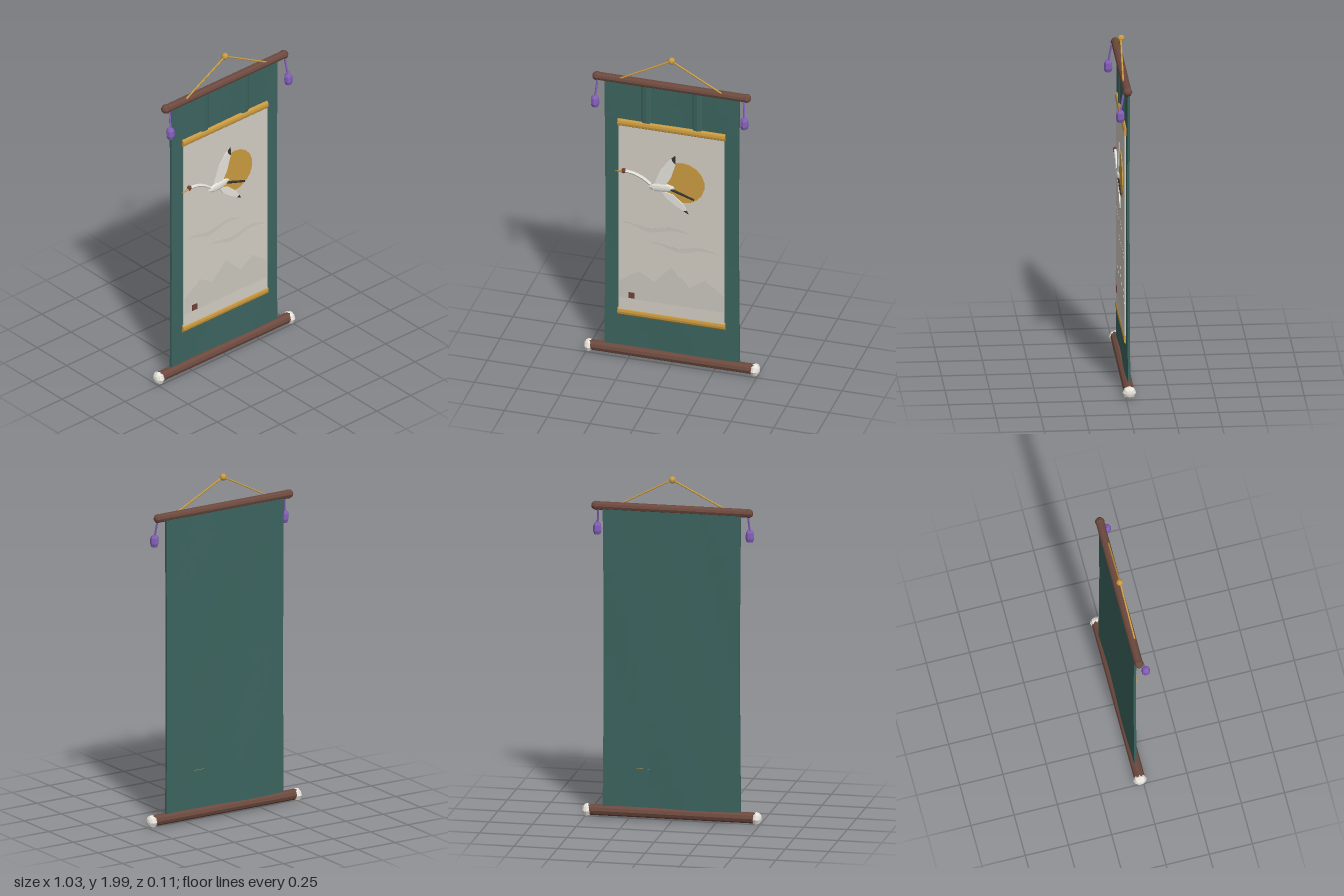
import * as THREE from 'three';

const mat = (name, color) => {
  const m = new THREE.MeshStandardMaterial({ color });
  m.name = name;
  return m;
};

export function createModel() {
  const root = new THREE.Group();
  root.name = 'hangingScroll';

  const cloth = mat('teal cloth', 0x3c645f);
  const wood = mat('dark wood', 0x6c493e);
  const gold = mat('gold', 0xcc9c40);
  const paper = mat('paper', 0xd3cec4);
  const ink = mat('pale ink wash', 0xcbc7be);
  const white = mat('ivory', 0xe6e4dc);
  const purple = mat('purple thread', 0x8460ba);
  const black = mat('black feather', 0x38332f);
  const red = mat('seal red', 0x6f4239);

  // Faceted mesh helper
  const add = (name, geo, material, x = 0, y = 0, z = 0, parent = root) => {
    const g = geo.index ? geo.toNonIndexed() : geo;
    g.computeVertexNormals();
    const mesh = new THREE.Mesh(g, material);
    mesh.name = name;
    mesh.position.set(x, y, z);
    parent.add(mesh);
    return mesh;
  };
  // Round bar between two points
  const bar = (name, a, b, r0, r1, sides, material, parent = root) => {
    const A = new THREE.Vector3(...a), B = new THREE.Vector3(...b);
    const mid = A.clone().add(B).multiplyScalar(0.5);
    const mesh = add(name, new THREE.CylinderGeometry(r1, r0, A.distanceTo(B), sides), material, mid.x, mid.y, mid.z, parent);
    mesh.quaternion.setFromUnitVectors(new THREE.Vector3(0, 1, 0), B.sub(A).normalize());
    return mesh;
  };
  // Thin cut-out plate facing the front
  const plate = (name, pts, depth, material, z, parent = root) => {
    const shape = new THREE.Shape(pts.map(p => new THREE.Vector2(...p)));
    return add(name, new THREE.ExtrudeGeometry(shape, { depth, bevelEnabled: false }), material, 0, 0, z, parent);
  };

  // Backing cloth, slightly waisted and rippled
  const sheet = new THREE.BoxGeometry(0.79, 1.73, 0.014, 12, 14, 1);
  const p = sheet.attributes.position;
  for (let i = 0; i < p.count; i++) {
    const t = p.getY(i) / 1.73 + 0.5;
    p.setX(i, p.getX(i) * (1 - 0.014 * Math.sin(Math.PI * t)));
    p.setZ(i, p.getZ(i) + 0.004 * Math.sin(p.getX(i) * 9) * Math.cos(t * 5));
  }
  add('backingCloth', sheet, cloth, 0, 0.935, -0.022);

  // Picture sheet and gold trims
  add('paperSheet', new THREE.BoxGeometry(0.62, 1.21, 0.008), paper, 0, 0.92, -0.009);
  for (const [name, y] of [['upperTrim', 1.53], ['lowerTrim', 0.302]]) {
    const trim = add(name, new THREE.CylinderGeometry(0.024, 0.024, 0.63, 10), gold, 0, y, -0.013);
    trim.rotation.z = Math.PI / 2;
    trim.scale.z = 0.55;
  }

  // Rods with end knobs
  bar('topRod', [-0.44, 1.81, -0.012], [0.44, 1.81, -0.012], 0.024, 0.024, 10, wood);
  bar('bottomRod', [-0.48, 0.05, -0.018], [0.48, 0.05, -0.018], 0.031, 0.031, 10, wood);

  for (const s of [-1, 1]) {
    const side = s > 0 ? 'left' : 'right';
    const topKnob = add(side + 'TopKnob', new THREE.SphereGeometry(0.027, 8, 6), wood, s * 0.437, 1.81, -0.012);
    topKnob.rotation.z = Math.PI / 2;
    const knob = add(side + 'BottomKnob', new THREE.SphereGeometry(0.039, 8, 6), white, s * 0.485, 0.046, -0.018);
    knob.rotation.z = Math.PI / 2;
    knob.scale.y = 0.75;

    // Hanging strap, bowed across its width
    const strap = add(side + 'Strap', new THREE.CylinderGeometry(0.028, 0.028, 0.25, 8), cloth, s * 0.149, 1.675, -0.013);
    strap.scale.z = 0.32;

    // Hanging string
    bar(side + 'String', [s * 0.295, 1.825, 0.001], [0, 1.98, -0.008], 0.005, 0.005, 6, gold);

    // Tassel
    const tassel = new THREE.Group();
    tassel.name = side + 'Tassel';
    root.add(tassel);
    bar('tasselCord', [s * 0.428, 1.795, 0.01], [s * 0.436, 1.69, 0.028], 0.006, 0.006, 5, purple, tassel);
    const profile = [[0, 1.632], [0.018, 1.635], [0.025, 1.655], [0.023, 1.688], [0.014, 1.702], [0, 1.704]];
    add('tasselHead', new THREE.LatheGeometry(profile.map(q => new THREE.Vector2(...q)), 7), purple, s * 0.437, 0, 0.028, tassel);
  }
  add('hangingKnob', new THREE.SphereGeometry(0.02, 8, 6), gold, 0, 1.98, -0.01);

  // Sun disc
  const sun = add('sun', new THREE.CylinderGeometry(0.13, 0.13, 0.005, 18), gold, 0.065, 1.2, -0.003);
  sun.rotation.x = Math.PI / 2;

  // Mountains and mist bands
  plate('mountains', [[-0.305, 0.395], [0.305, 0.395], [0.305, 0.505], [0.2, 0.585], [0.11, 0.525],
    [0, 0.635], [-0.1, 0.53], [-0.19, 0.585], [-0.305, 0.5]], 0.002, ink, -0.006);
  for (const [name, x0, y0] of [['upperMist', -0.29, 0.875], ['lowerMist', -0.12, 0.77]]) {
    const top = [], low = [];
    for (let i = 0; i <= 10; i++) {
      const t = i / 10, mid = y0 + 0.014 * Math.sin(t * 9 + 1);
      const h = 0.013 * Math.sin(Math.PI * t) + 0.002;
      low.push([x0 + 0.4 * t, mid - h]);
      top.unshift([x0 + 0.4 * t, mid + h]);
    }
    plate(name, [...low, ...top], 0.002, ink, -0.006);
  }
  add('sealStamp', new THREE.BoxGeometry(0.036, 0.036, 0.006), red, -0.232, 0.418, -0.003);

  // Flying crane
  const crane = new THREE.Group();
  crane.name = 'crane';
  root.add(crane);
  const body = add('body', new THREE.SphereGeometry(1, 8, 6), white, -0.055, 1.153, 0.002, crane);
  body.scale.set(0.078, 0.027, 0.012);
  body.rotation.z = 0.1;
  plate('upperWing', [[-0.093, 1.184], [-0.034, 1.168], [0, 1.226], [0.029, 1.321], [0.024, 1.374],
    [-0.015, 1.335], [-0.056, 1.279]], 0.007, white, 0, crane);
  plate('upperWingTip', [[0.012, 1.335], [0.029, 1.321], [0.026, 1.376], [0.005, 1.357]], 0.003, black, 0.006, crane);
  plate('lowerWing', [[-0.055, 1.135], [-0.03, 1.095], [0.029, 1.05], [0.103, 1.009], [0.071, 1.067],
    [0.012, 1.118]], 0.007, white, 0, crane);
  plate('lowerWingTip', [[0.075, 1.024], [0.104, 1.008], [0.094, 1.03]], 0.003, black, 0.006, crane);
  const tail = bar('tail', [0, 1.15, 0.003], [0.135, 1.104, 0.003], 0.008, 0.006, 6, black, crane);
  tail.scale.z = 0.8;
  const neck = new THREE.CatmullRomCurve3([[-0.12, 1.165], [-0.165, 1.197], [-0.215, 1.218], [-0.275, 1.227]]
    .map(([x, y]) => new THREE.Vector3(x, y, 0.002)));
  add('neck', new THREE.TubeGeometry(neck, 12, 0.009, 6), white, 0, 0, 0, crane);
  add('head', new THREE.SphereGeometry(0.013, 7, 5), red, -0.276, 1.227, 0.003, crane).scale.y = 1.3;
  bar('beak', [-0.282, 1.222, 0.003], [-0.328, 1.216, 0.003], 0.008, 0.002, 5, gold, crane);

  return root;
}
